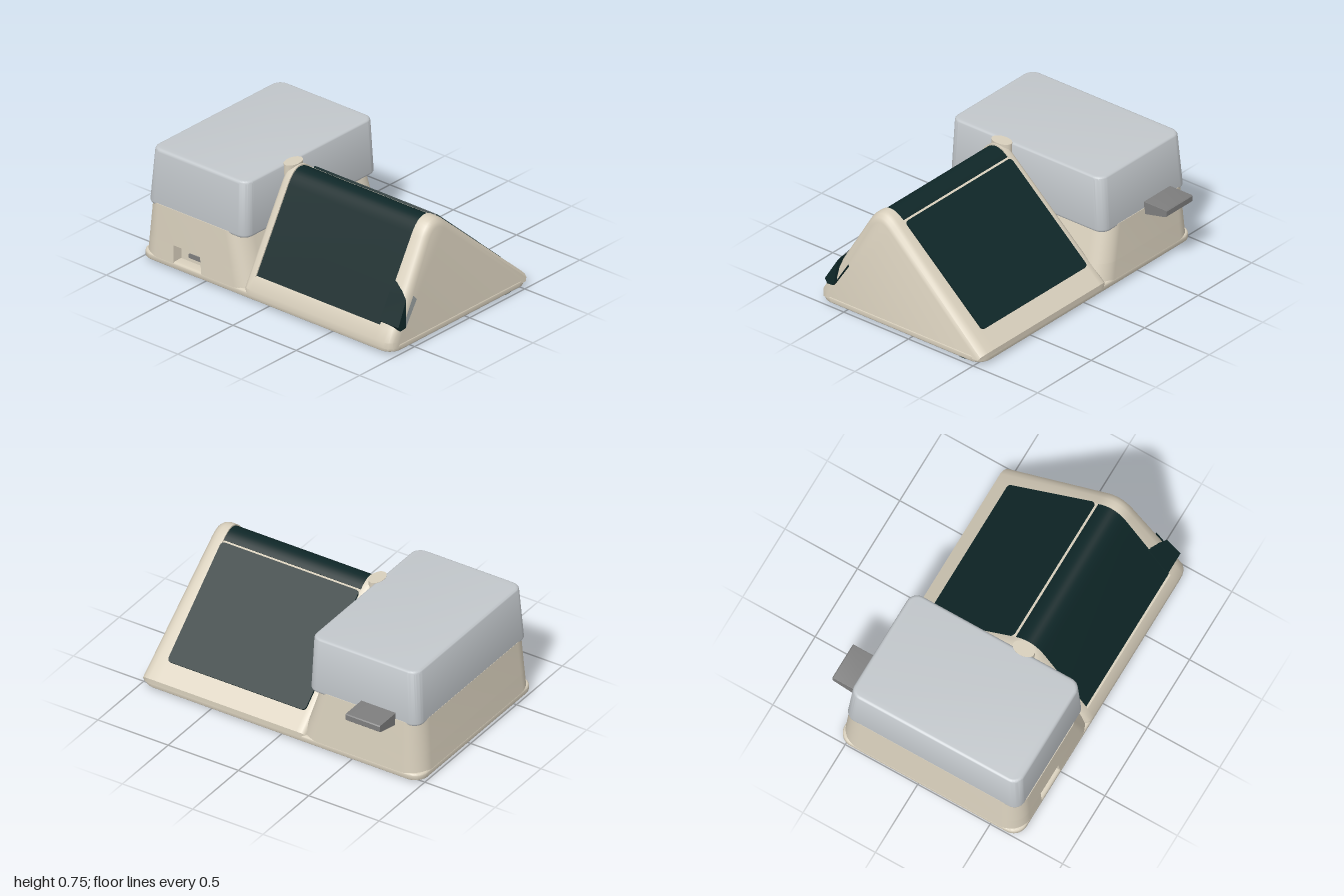
import * as THREE from 'three';
import { toCreasedNormals } from 'three/addons/utils/BufferGeometryUtils.js';

const mat = (name, color, side = THREE.FrontSide) => {
  const m = new THREE.MeshStandardMaterial({ color, side });
  m.name = name;
  return m;
};

// Rounded rectangle in plan; notch = [x0, x1, depth] cuts the front edge.
function planShape(x0, x1, z0, z1, r, notch) {
  const s = new THREE.Shape(), b = -z1, t = -z0, h = Math.PI / 2;
  s.moveTo(x0 + r, b);
  if (notch) {
    const [n0, n1, d] = notch;
    s.lineTo(n0, b); s.lineTo(n0, b + d); s.lineTo(n1, b + d); s.lineTo(n1, b);
  }
  s.lineTo(x1 - r, b);
  s.absarc(x1 - r, b + r, r, -h, 0);
  s.absarc(x1 - r, t - r, r, 0, h);
  s.absarc(x0 + r, t - r, r, h, 2 * h);
  s.absarc(x0 + r, b + r, r, 2 * h, 3 * h);
  return s;
}

// Apply a rule to every vertex.
function warp(g, rule) {
  const p = g.attributes.position, v = new THREE.Vector3();
  for (let i = 0; i < p.count; i++) {
    v.fromBufferAttribute(p, i);
    rule(v);
    p.setXYZ(i, v.x, v.y, v.z);
  }
  return g;
}

// Upright slab with rounded plan corners and optional rounded edges.
function slab([x0, x1, z0, z1], r, y0, y1, { bevel = 0, notch, rule } = {}) {
  const g = new THREE.ExtrudeGeometry(
    planShape(x0 + bevel, x1 - bevel, z0 + bevel, z1 - bevel, Math.max(r - bevel, 0.004), notch), {
      depth: y1 - y0 - 2 * bevel, curveSegments: 8,
      bevelEnabled: bevel > 0, bevelSize: bevel, bevelThickness: bevel, bevelSegments: 4,
    });
  g.rotateX(-Math.PI / 2).translate(0, y0 + bevel, 0);
  if (rule) warp(g, rule);
  return toCreasedNormals(g, 0.6);
}

// Join closed [z, y] loops placed along x.
function loft(sections, caps = true) {
  const n = sections[0].pts.length, pos = [], idx = [];
  for (const { x, pts, draft = 0 } of sections) for (const [z, y] of pts) pos.push(x - draft * y, y, z);
  for (let i = 0; i < sections.length - 1; i++) for (let j = 0; j < n; j++) {
    const k = (j + 1) % n, a = i * n + j, b = a + n, c = (i + 1) * n + k, d = i * n + k;
    idx.push(a, b, c, a, c, d);
  }
  const e = (sections.length - 1) * n;
  if (caps) for (let k = 1; k < n - 1; k++) idx.push(0, k, k + 1, e, e + k + 1, e + k);
  const g = new THREE.BufferGeometry();
  g.setAttribute('position', new THREE.Float32BufferAttribute(pos, 3));
  g.setIndex(idx);
  return toCreasedNormals(g, 0.6);
}

// Wedge outline: d insets the whole outline, rec sinks the front slope and crest.
const NF = [0.864, 0.503], NB = [-0.663, 0.748], MITER = [0.25, 1.558];
const off = (p, n, d) => [p[0] - n[0] * d, p[1] - n[1] * d];
const frontZ = (y, d) => 0.70 - (y - 0.08) / 1.72 - 1.157 * d;
function crest(e) {
  const curve = new THREE.QuadraticBezierCurve(
    new THREE.Vector2(...off([0.365, 0.657], NF, e)),
    new THREE.Vector2(...off([0.277, 0.808], MITER, e)),
    new THREE.Vector2(...off([0.155, 0.70], NB, e)));
  return [[frontZ(0.155, e), 0.155], ...curve.getPoints(12).map(p => [p.x, p.y])];
}
const wedge = (d, rec = 0) => [
  [frontZ(0.08, d), 0.04], [frontZ(0.08, d), 0.08], [frontZ(0.15, d), 0.15],
  ...crest(d + rec),
  off([0.14, 0.687], NB, d), off([-0.555, 0.075], NB, d), [-0.555 + d, 0.04],
];

export function createModel() {
  const root = new THREE.Group();
  const shell = mat('warm beige shell', 0xd8cfbc);
  const cover = mat('pale grey cover', 0xc2c7cb);
  const dark = mat('dark teal panel', 0x0f2728);
  const metal = mat('mid grey plastic', 0x7e7e7e);
  const add = (name, geo, m) => {
    const mesh = new THREE.Mesh(geo, m);
    mesh.name = name;
    root.add(mesh);
    return mesh;
  };

  // Base plate
  add('basePlate', slab([-1, 0.99, -0.555, 0.70], 0.09, 0.015, 0.062, { bevel: 0.014 }), shell);

  // Tapered plinth in two layers, the lower one notched for the port
  const taper = v => {
    const t = (v.y - 0.04) / 0.36;
    const s = (v.x + 1) / 0.88;
    v.x += t * (0.03 * (1 - s) - 0.11 * s);
    v.z += t * (v.z > 0 ? -0.017 : 0.023);
  };
  const foot = [-1, -0.12, -0.555, 0.70];
  add('plinthLower', slab(foot, 0.13, 0.04, 0.17, { notch: [-0.73, -0.51, 0.07], rule: taper }), shell);
  add('plinthUpper', slab(foot, 0.13, 0.17, 0.40, { rule: taper }), shell);

  // Port slot at the back of the notch
  const port = add('portSlot', slab([-0.055, 0.055, -0.015, 0.015], 0.013, 0, 0.006), metal);
  port.rotation.x = Math.PI / 2;
  port.position.set(-0.617, 0.1, 0.627);

  // Box-shaped cover on the plinth
  add('cover', slab([-0.97, -0.18, -0.53, 0.68], 0.07, 0.38, 0.75, {
    bevel: 0.02,
    rule: v => {
      const t = (v.y - 0.38) / 0.37;
      v.x += t * (v.x < -0.575 ? 0.025 : -0.008);
      v.z += t * (v.z > 0 ? -0.02 : 0.023);
    },
  }), cover);

  // Wedge housing with rims either side of the sunken front
  add('wedgeHousing', loft([
    { x: -0.185, pts: wedge(0.03) },
    { x: -0.172, pts: wedge(0.01) },
    { x: -0.155, pts: wedge(0) },
    { x: -0.12, pts: wedge(0) },
    { x: -0.12, pts: wedge(0, 0.014) },
    { x: 0.86, pts: wedge(0, 0.014) },
    { x: 0.86, pts: wedge(0) },
    { x: 0.93, pts: wedge(0), draft: 0.035 },
    { x: 0.962, pts: wedge(0.008), draft: 0.045 },
    { x: 0.982, pts: wedge(0.024), draft: 0.045 },
    { x: 0.99, pts: wedge(0.05), draft: 0.045 },
  ]), shell);

  // Rounded post between wedge and cover
  const post = add('crestPost', new THREE.CylinderGeometry(0.045, 0.045, 0.37, 24), shell);
  post.scale.z = 1.6;
  post.position.set(-0.175, 0.567, 0.25);

  // Front panel running over the crest
  const strip = [...crest(0.008), ...crest(0.016).reverse()];
  add('frontPanel', loft([{ x: -0.119, pts: strip }, { x: 0.862, pts: strip }], false), dark);

  // Tab wrapping the panel round the end wall
  const tab = new THREE.Shape([
    [0.628, 0.15], [0.647, 0.18], [0.560, 0.33], [0.552, 0.345], [0.519, 0.40],
    [0.500, 0.395], [0.480, 0.31], [0.580, 0.155],
  ].map(([z, y]) => new THREE.Vector2(-z, y)));
  const tabGeo = new THREE.ExtrudeGeometry(tab, { depth: 1, bevelEnabled: false });
  tabGeo.rotateY(Math.PI / 2);
  warp(tabGeo, v => {
    const end = v.y > 0.38 ? 0.87 : v.y > 0.34 ? 0.965 : v.y > 0.32 ? 0.985 : 1;
    v.x = v.x > 0.5 ? end : 0.85;
  });
  add('panelTab', toCreasedNormals(tabGeo, 0.4), dark);

  // Rear panel lying on the back slope
  const rear = add('rearPanel', slab([-0.49, 0.49, -0.397, 0.397], 0.025, -0.008, 0.011), dark);
  rear.rotation.x = -0.722;
  rear.position.set(0.37, 0.428, -0.156);

  // Plug at the back
  const plug = new THREE.ExtrudeGeometry(new THREE.Shape(
    [[0.50, 0.355], [0.54, 0.36], [0.692, 0.395], [0.70, 0.402], [0.70, 0.435], [0.694, 0.44], [0.50, 0.44]]
      .map(([z, y]) => new THREE.Vector2(z, y))), { depth: 0.229, bevelEnabled: true, bevelSize: 0.001, bevelThickness: 0.008, bevelSegments: 2 });
  plug.rotateY(Math.PI / 2).translate(-0.802, 0, 0);
  add('plug', toCreasedNormals(plug, 0.4), metal);

  // Feet
  add('frontFoot', slab([-0.96, 0.96, 0.51, 0.655], 0.07, 0, 0.02), dark);
  add('rearFoot', slab([-0.58, 0.58, -0.49, -0.36], 0.062, 0, 0.02), dark);
  for (const x of [-0.84, 0.84]) {
    add('roundFoot', new THREE.CylinderGeometry(0.125, 0.125, 0.02, 32).translate(x, 0.01, -0.39), dark);
  }

  // Hanging slot underneath
  add('hangSlot', slab([0.53, 0.65, 0.39, 0.445], 0.026, 0.012, 0.02), metal);
  add('hangHole', new THREE.CylinderGeometry(0.02, 0.02, 0.008, 20).translate(0.56, 0.014, 0.418), dark);

  // The plug sits behind the cover: mirror its outline to the rear
  root.getObjectByName('plug').geometry.computeBoundingBox();
  const box = root.getObjectByName('plug').geometry.boundingBox;
  if (box.max.z > 0) {
    const p = root.getObjectByName('plug');
    p.rotation.y = Math.PI;
    p.position.x = box.min.x + box.max.x;
  }
  return root;
}
